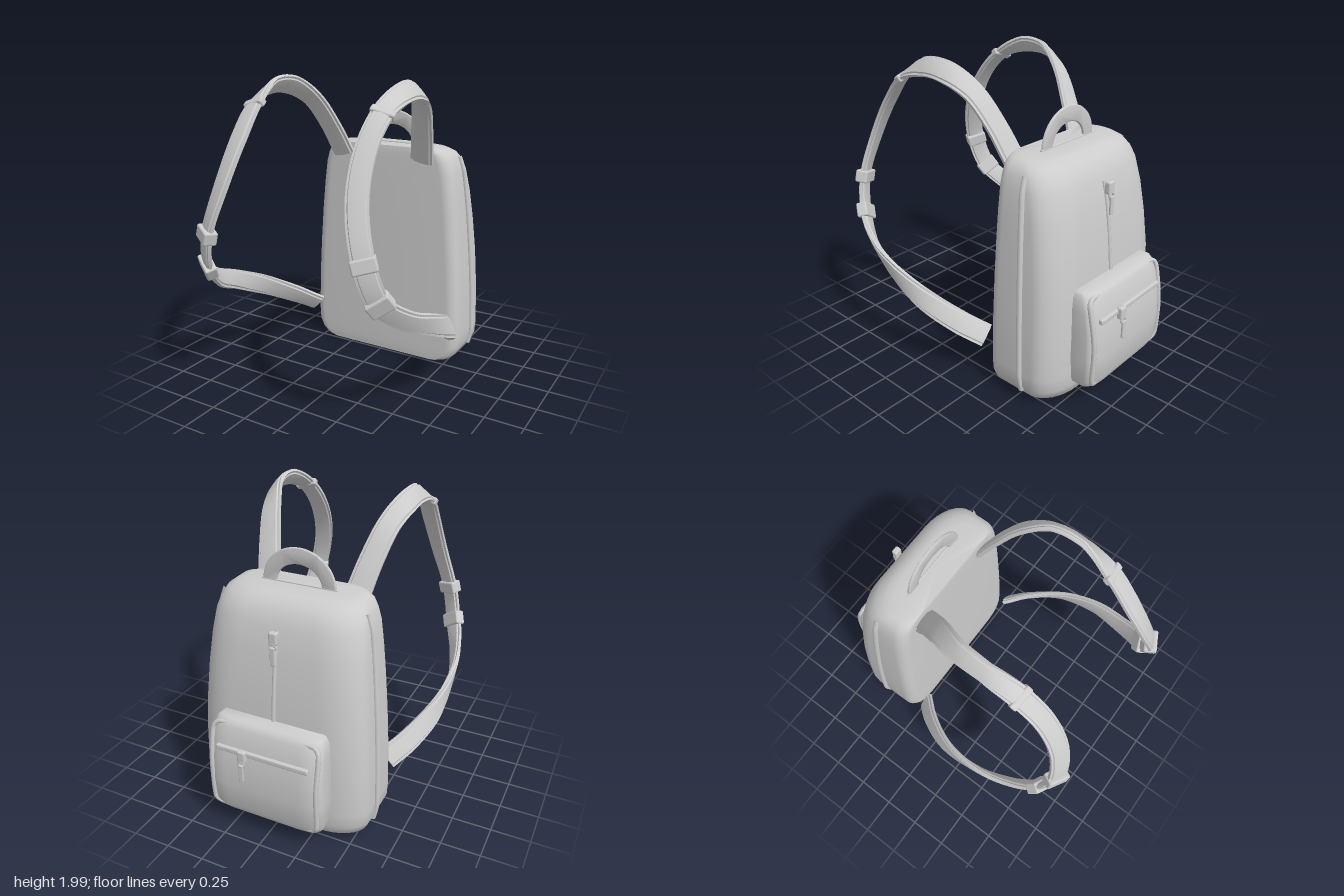
import * as THREE from 'three';
import { toCreasedNormals } from 'three/addons/utils/BufferGeometryUtils.js';
import { RoundedBoxGeometry } from 'three/addons/geometries/RoundedBoxGeometry.js';

const V = (x, y, z) => new THREE.Vector3(x, y, z);

// Closed skin over a list of rings, with flat end caps
function loft(rings, crease = 0.7) {
  const n = rings[0].length, pos = [], idx = [];
  rings.forEach(r => r.forEach(p => pos.push(p.x, p.y, p.z)));
  for (let i = 0; i < rings.length - 1; i++) for (let j = 0; j < n; j++) {
    const a = i * n + j, b = i * n + (j + 1) % n;
    idx.push(a, a + n, b, a + n, b + n, b);
  }
  [0, rings.length - 1].forEach((i, end) => {
    const c = rings[i].reduce((s, p) => s.add(p), V(0, 0, 0)).divideScalar(n);
    const k = pos.length / 3;
    pos.push(c.x, c.y, c.z);
    for (let j = 0; j < n; j++) {
      const a = i * n + j, b = i * n + (j + 1) % n;
      end ? idx.push(k, b, a) : idx.push(k, a, b);
    }
  });
  const g = new THREE.BufferGeometry();
  g.setAttribute('position', new THREE.Float32BufferAttribute(pos, 3));
  g.setIndex(idx);
  return toCreasedNormals(g, crease);
}

// Horizontal section: flat inner side at zb, rounder outer side at zf
function section(y, w, zb, zf, inner, [fx, fz]) {
  const pts = [];
  [[1, 1], [-1, 1], [-1, -1], [1, -1]].forEach(([sx, sz], q) => {
    const rx = sz > 0 ? inner : fx, rz = sz > 0 ? inner : fz;
    for (let i = 0; i <= 8; i++) {
      const a = (q + i / 8) * Math.PI / 2;
      pts.push(V(sx * (w - rx) + rx * Math.cos(a), y, (sz > 0 ? zb - rz : zf + rz) + rz * Math.sin(a)));
    }
  });
  return pts;
}

// Linear lookup in a [y, halfWidth, outerZ] profile
function at(profile, y) {
  let i = 0;
  while (i < profile.length - 2 && profile[i + 1][0] < y) i++;
  const [a, b] = [profile[i], profile[i + 1]], t = (y - a[0]) / (b[0] - a[0]);
  return [0, 1, 2].map(k => a[k] + (b[k] - a[k]) * t);
}

const BODY = [
  [0, 0.46, -0.68], [0.015, 0.51, -0.73], [0.05, 0.55, -0.765], [0.11, 0.575, -0.78], [0.2, 0.58, -0.785],
  [0.5, 0.57, -0.78], [0.75, 0.555, -0.77], [1.0, 0.535, -0.745], [1.2, 0.515, -0.715], [1.35, 0.495, -0.68],
  [1.42, 0.475, -0.65], [1.47, 0.45, -0.61], [1.5, 0.41, -0.56], [1.51, 0.36, -0.52],
];
const POCKET = [
  [0.13, 0.34, -0.88], [0.145, 0.365, -0.915], [0.19, 0.38, -0.935], [0.35, 0.385, -0.945], [0.5, 0.38, -0.94],
  [0.65, 0.375, -0.915], [0.73, 0.365, -0.89], [0.76, 0.35, -0.875], [0.77, 0.33, -0.855],
];
// Strap centre line: position, direction across the band, band width
const STRAP = [
  [V(0.30, 1.43, -0.25), V(1, -0.2, 0), 0.16],
  [V(0.345, 1.63, -0.15), V(1, -0.2, 0), 0.15],
  [V(0.40, 1.82, -0.02), V(0.9, -0.4, 0), 0.14],
  [V(0.45, 1.92, 0.14), V(0.65, -0.75, 0), 0.14],
  [V(0.46, 1.93, 0.33), V(0.6, -0.8, 0), 0.13],
  [V(0.44, 1.84, 0.54), V(0.9, -0.3, 0), 0.13],
  [V(0.43, 1.66, 0.71), V(1, 0, -0.2), 0.13],
  [V(0.46, 1.4, 0.85), V(0.95, 0, -0.3), 0.13],
  [V(0.54, 1.1, 0.915), V(0.85, 0, -0.45), 0.13],
  [V(0.60, 0.88, 0.86), V(0.8, 0.2, -0.5), 0.13],
  [V(0.675, 0.74, 0.7), V(0.5, 0.8, -0.2), 0.13],
  [V(0.73, 0.63, 0.45), V(0.1, 1, 0.3), 0.13],
  [V(0.71, 0.5, 0.17), V(-0.15, 1, 0.4), 0.14],
  [V(0.61, 0.37, -0.06), V(-0.3, 0.95, 0.4), 0.15],
  [V(0.51, 0.28, -0.195), V(-0.4, 0.9, 0.4), 0.15],
];

export function createModel() {
  const model = new THREE.Group();
  const grey = new THREE.MeshStandardMaterial({ color: 0xcccccc });
  grey.name = 'grey fabric';
  const add = (name, geo, parent = model) => {
    const m = new THREE.Mesh(geo, grey);
    m.name = name;
    parent.add(m);
    return m;
  };
  const tube = (pts, r, closed = false, seg = 48) =>
    new THREE.TubeGeometry(new THREE.CatmullRomCurve3(pts, closed), seg, r, 8, closed);

  // Main bag and front pocket
  add('bag', loft(BODY.map(([y, w, zf]) => section(y, w, -0.27, zf, 0.08, [0.26, 0.16]))));
  add('pocket', loft(POCKET.map(([y, w, zf]) => section(y, w, -0.7, zf, 0.01, [0.14, 0.06]))));

  // Piping round the pocket rim
  const rim = [];
  [[1, 1], [-1, 1], [-1, -1], [1, -1]].forEach(([sx, sy], q) => {
    for (let i = 0; i <= 4; i++) {
      const a = (q + i / 4) * Math.PI / 2;
      const y = 0.45 + sy * 0.24 + 0.05 * Math.sin(a);
      rim.push(V(sx * 0.305 + 0.05 * Math.cos(a), y, at(POCKET, y)[2] + 0.02));
    }
    if (sy === 1 && sx === -1) rim.push(V(-0.355, 0.45, at(POCKET, 0.45)[2] + 0.02));
    if (sy === -1 && sx === 1) rim.push(V(0.355, 0.45, at(POCKET, 0.45)[2] + 0.02));
  });
  add('pocketPiping', tube(rim, 0.016, true, 96));

  // Zips with their pulls
  const zipPull = (name, x, y, z) => {
    const g = new THREE.Group();
    g.name = name;
    g.position.set(x, y, z);
    add('slider', new RoundedBoxGeometry(0.055, 0.08, 0.04, 2, 0.012), g);
    add('loop', new THREE.TorusGeometry(0.02, 0.007, 6, 12), g).position.set(0, -0.05, -0.015);
    add('tab', new RoundedBoxGeometry(0.032, 0.12, 0.016, 2, 0.006), g).position.set(0, -0.11, -0.02);
    model.add(g);
  };
  const centre = [0.76, 0.9, 1.05, 1.2, 1.33].map(y => V(0, y, at(BODY, y)[2]));
  add('frontZip', tube(centre, 0.013));
  zipPull('frontZipPull', 0, 1.3, -0.73);
  add('pocketZip', new RoundedBoxGeometry(0.62, 0.035, 0.03, 2, 0.01)).position.set(0, 0.6, -0.925);
  zipPull('pocketZipPull', 0.12, 0.59, -0.945);

  // Carry handle: a flat arched band on a seam
  const arch = new THREE.Shape();
  arch.moveTo(0.235, 0);
  arch.absellipse(0, 0, 0.235, 0.22, 0, Math.PI, false);
  arch.lineTo(-0.155, 0);
  arch.absellipse(0, 0, 0.155, 0.13, Math.PI, 0, true);
  const band = new THREE.ExtrudeGeometry(arch, {
    depth: 0.006, bevelEnabled: true, bevelSize: 0.006, bevelThickness: 0.006, bevelSegments: 2, curveSegments: 24,
  });
  add('handle', toCreasedNormals(band, 0.9)).position.set(0, 1.51, -0.413);
  add('handleSeam', new RoundedBoxGeometry(0.5, 0.014, 0.02, 2, 0.005)).position.set(0, 1.512, -0.41);

  for (const s of [1, -1]) {
    const side = new THREE.Group();
    side.name = s > 0 ? 'leftStrap' : 'rightStrap';
    model.add(side);

    // Raised seam down the side of the bag
    const seam = [];
    for (let i = 0; i <= 14; i++) {
      const y = 0.07 + i * 0.098;
      seam.push(V(s * (at(BODY, y)[1] + 0.004), y, -0.54 + 0.06 * Math.pow(i / 14, 1.6)));
    }
    add('sideSeam', tube(seam, 0.018));

    // Shoulder strap swept along its curve, twisting under the arm
    const flip = p => V(p.x * s, p.y, p.z);
    const path = new THREE.CatmullRomCurve3(STRAP.map(k => flip(k[0])));
    const frame = u => {
      const f = u * (STRAP.length - 1), i = Math.min(Math.floor(f), STRAP.length - 2);
      const t = path.getTangent(u);
      const w = flip(STRAP[i][1].clone().lerp(STRAP[i + 1][1], f - i));
      w.addScaledVector(t, -w.dot(t)).normalize();
      const width = STRAP[i][2] + (STRAP[i + 1][2] - STRAP[i][2]) * (f - i);
      return { p: path.getPoint(u), t, w, n: w.clone().cross(t), width };
    };
    const profile = [[1, 0.4], [0.8, 0.45], [0.72, 0.8], [0, 1], [-0.72, 0.8], [-0.8, 0.45], [-1, 0.4],
      [-1, -0.4], [-0.8, -0.45], [-0.72, -0.8], [0, -1], [0.72, -0.8], [0.8, -0.45], [1, -0.4]];
    const rings = [];
    for (let i = 0; i <= 84; i++) {
      const { p, w, n, width } = frame(i / 84);
      rings.push(profile.map(([a, b]) =>
        p.clone().addScaledVector(w, a * width / 2).addScaledVector(n, b * 0.024)));
    }
    add('strap', loft(rings, 0.5), side);

    // Strap keepers
    [[5, 0.05, 0.15, 0.05], [8, 0.085, 0.145, 0.085], [9.05, 0.1, 0.15, 0.075]].forEach(([k, h, wide, thick]) => {
      const { p, t, w, n } = frame(k / (STRAP.length - 1));
      const m = add('keeper', new RoundedBoxGeometry(wide, h, thick, 2, 0.012), side);
      m.quaternion.setFromRotationMatrix(new THREE.Matrix4().makeBasis(w, t, w.clone().cross(t)));
      m.position.copy(p);
    });
  }
  return model;
}
